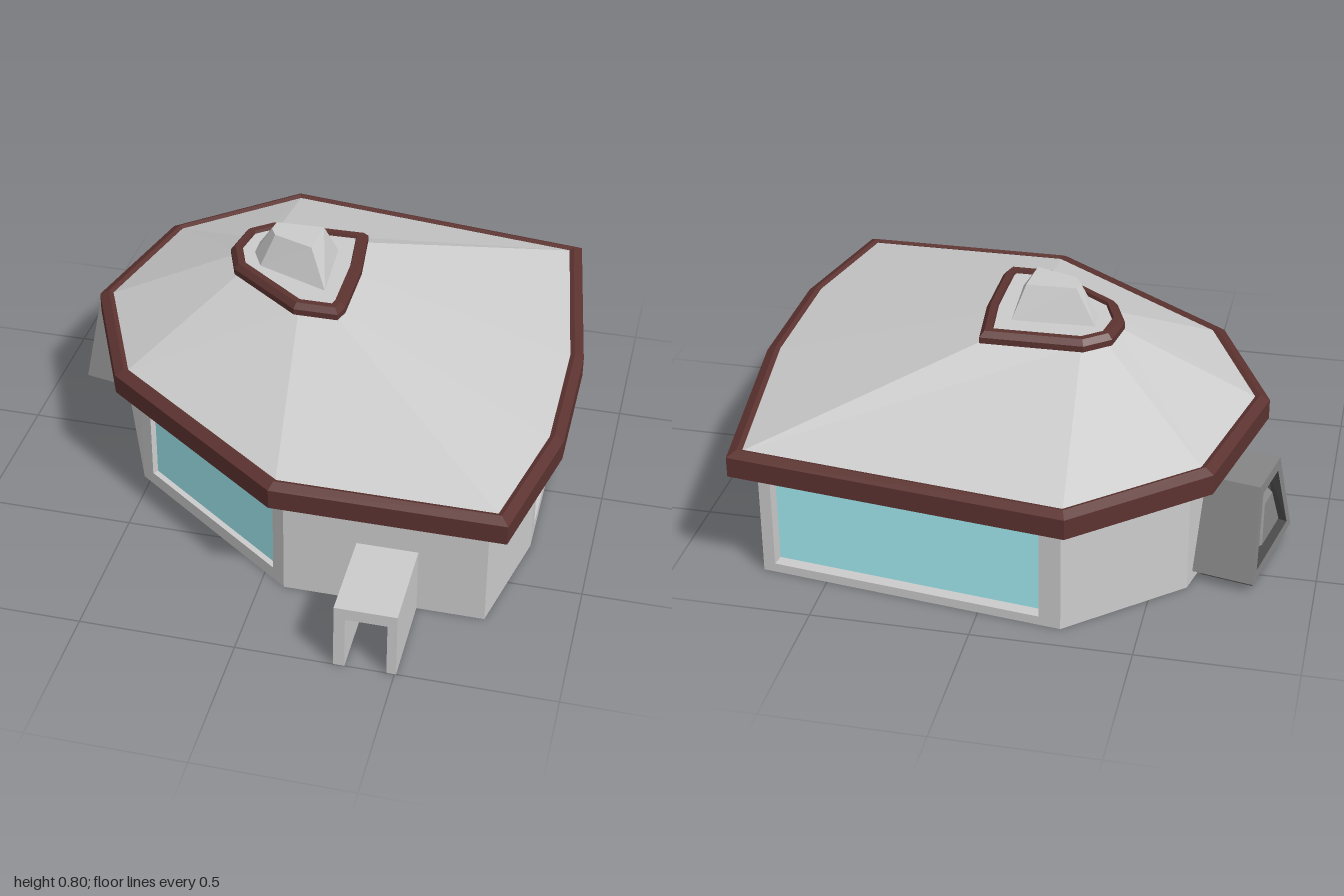
import * as THREE from 'three';

const material = (color) => new THREE.MeshStandardMaterial({ color, flatShading: true, side: THREE.DoubleSide });
const grey = material(0xcccccc), brown = material(0x5c3330), glass = material(0xa4edf4);
const steel = material(0x858585), dark = material(0x4a4a4a);

// Skin a series of equal-length loops of [x, y, z]; optionally close the last one
function loft(loops, capped = false) {
  const out = [];
  for (let k = 0; k + 1 < loops.length; k++) {
    const a = loops[k], b = loops[k + 1];
    a.forEach((p, i) => {
      const j = (i + 1) % a.length;
      out.push(...a[j], ...p, ...b[i], ...a[j], ...b[i], ...b[j]);
    });
  }
  if (capped) {
    const top = loops[loops.length - 1];
    const c = [0, 1, 2].map((n) => top.reduce((s, p) => s + p[n], 0) / top.length);
    top.forEach((p, i) => out.push(...c, ...top[(i + 1) % top.length], ...p));
  }
  const g = new THREE.BufferGeometry();
  g.setAttribute('position', new THREE.Float32BufferAttribute(out, 3));
  g.computeVertexNormals();
  return g;
}

// Outward unit normal of the plan edge a -> b
function edgeNormal(a, b) {
  const dx = b[0] - a[0], dz = b[1] - a[1], l = Math.hypot(dx, dz);
  return [dz / l, -dx / l];
}

// Mitred inset of a plan outline
function inset(plan, d) {
  const n = plan.length;
  return plan.map((p, i) => {
    const m = edgeNormal(plan[(i + n - 1) % n], p), k = edgeNormal(p, plan[(i + 1) % n]);
    const s = d / (1 + m[0] * k[0] + m[1] * k[1]);
    return [p[0] - (m[0] + k[0]) * s, p[1] - (m[1] + k[1]) * s];
  });
}
const level = (plan, d, y) => inset(plan, d).map(([x, z]) => [x, y, z]);

// Plans [x, z], clockwise from the back
const eaves = [[-0.29, -1], [0.785, -0.86], [0.885, -0.16], [0.885, 0.31], [0.785, 0.77],
  [0.05, 0.77], [-0.59, 0.3], [-0.795, -0.16], [-0.68, -0.66]];
const crown = [[-0.225, -0.37], [0.105, -0.375], [0.13, -0.16], [0.13, 0.08], [0.115, 0.13],
  [-0.03, 0.13], [-0.28, -0.06], [-0.325, -0.18], [-0.305, -0.305]];

// Windows by wall number: span along the wall, heights, recess
const windows = {
  0: [0.07, 0.96, 0.03, 0.34, 0.04],
  1: [0.575, 0.94, 0.04, 0.33, 0.02],
  2: [0.11, 0.86, 0.04, 0.33, 0.02],
  5: [0.07, 0.93, 0.045, 0.33, 0.02],
};

export function createModel() {
  const model = new THREE.Group();
  const add = (name, geometry, mat = grey, parent = model) => {
    const mesh = new THREE.Mesh(geometry, mat);
    mesh.name = name;
    parent.add(mesh);
    return mesh;
  };

  // Walls, with recessed windows
  const plan = inset(eaves, 0.08);
  plan.forEach((a, i) => {
    const b = plan[(i + 1) % plan.length], n = edgeNormal(a, b);
    const panel = (t0, t1, y0, y1, d) => [[t0, y0], [t1, y0], [t1, y1], [t0, y1]].map(([t, y]) =>
      [a[0] + (b[0] - a[0]) * t - n[0] * d, y, a[1] + (b[1] - a[1]) * t - n[1] * d]);
    const whole = panel(0, 1, 0, 0.385, 0), w = windows[i];
    if (!w) {
      add('wall', loft([whole], true));
      return;
    }
    const [t0, t1, y0, y1, depth] = w;
    const pane = panel(t0, t1, y0, y1, depth);
    add('windowWall', loft([whole, panel(t0, t1, y0, y1, 0), pane]));
    add('windowGlass', loft([pane], true), glass);
  });

  // Eaves, roof and crown
  add('eavesTrim', loft([level(eaves, 0.1, 0.376), level(eaves, 0, 0.376), level(eaves, 0, 0.442),
    level(eaves, 0.03, 0.458), level(eaves, 0.045, 0.452)]), brown);
  add('roof', loft([level(eaves, 0.04, 0.448), level(crown, 0.03, 0.668)]));
  add('crownTrim', loft([level(crown, 0.035, 0.658), level(crown, 0, 0.66), level(crown, 0, 0.68),
    level(crown, 0.015, 0.698), level(crown, 0.036, 0.698), level(crown, 0.04, 0.685)]), brown);
  add('crownTop', loft([level(crown, 0.035, 0.687)], true));

  // Tapered roof vent
  const ventBase = [[-0.24, -0.24], [0.03, -0.25], [0.045, 0.01], [-0.2, -0.09], [-0.24, -0.17]];
  const ventTop = [[-0.17, -0.2], [-0.01, -0.205], [-0.02, -0.07], [-0.155, -0.12], [-0.175, -0.155]];
  add('roofVent', loft([level(ventBase, 0, 0.685), level(ventTop, 0, 0.795)], true));

  // Porch tunnel, open at the front and below
  const arch = new THREE.Shape([[0.31, 0], [0.345, 0], [0.345, 0.185], [0.475, 0.185],
    [0.475, 0], [0.505, 0], [0.505, 0.225], [0.31, 0.225]].map(([x, y]) => new THREE.Vector2(x, y)));
  add('porch', new THREE.ExtrudeGeometry(arch, { depth: 0.31, bevelEnabled: false })).position.z = 0.69;

  // Side hatch: a trapezoid housing with a recessed frame and raised panel
  const hatch = new THREE.Group();
  hatch.name = 'sideHatch';
  hatch.position.set(-0.665, 0, -0.385);
  hatch.rotation.y = Math.atan2(-0.98, -0.2);
  model.add(hatch);
  const trapezoid = (low, high, y0, y1, w0, w1) =>
    [[low, y0, w0], [-low, y0, w0], [-high, y1, w1], [high, y1, w1]];
  const mouth = trapezoid(0.155, 0.075, 0.065, 0.295, 0.188, 0.172);
  const recess = trapezoid(0.15, 0.07, 0.07, 0.29, 0.155, 0.14);
  add('hatchHousing', loft([trapezoid(0.195, 0.1, 0.035, 0.33, -0.02, -0.02),
    trapezoid(0.195, 0.1, 0.035, 0.33, 0.19, 0.17), mouth]), steel, hatch);
  add('hatchRecess', loft([mouth, recess], true), dark, hatch);
  add('hatchPanel', loft([trapezoid(0.105, 0.05, 0.1, 0.25, 0.15, 0.138),
    trapezoid(0.085, 0.038, 0.115, 0.235, 0.18, 0.168)], true), steel, hatch);
  add('hatchBase', new THREE.BoxGeometry(0.3, 0.04, 0.17), dark, hatch).position.set(0, 0.02, 0.09);

  return model;
}
